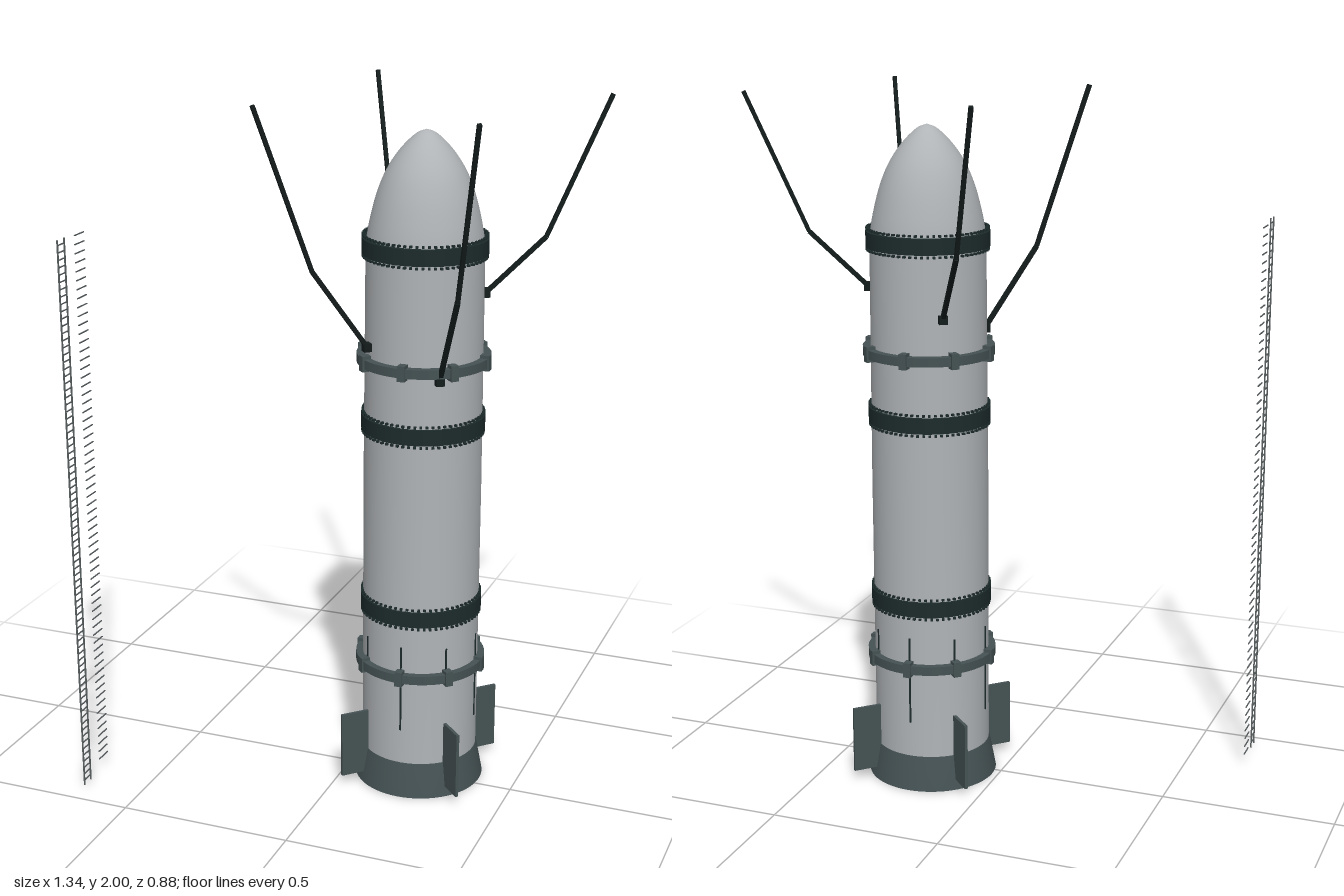
import * as THREE from 'three';
import { mergeGeometries } from 'three/addons/utils/BufferGeometryUtils.js';

const mat = (name, color, side = THREE.FrontSide) => {
  const m = new THREE.MeshStandardMaterial({ color, side });
  m.name = name;
  return m;
};

export function createModel() {
  const hull = mat('hull grey', 0xb0b4b7, THREE.DoubleSide);
  const steel = mat('dark steel', 0x455254);
  const band = mat('band green black', 0x1d2b2b);
  const black = mat('arm black', 0x141c1c);
  const rung = mat('ladder grey', 0x5a6062);

  const model = new THREE.Group();
  const rocket = new THREE.Group();
  rocket.name = 'rocket';
  rocket.position.set(0.206, 0, -0.031);
  model.add(rocket);

  const add = (name, geo, material, parent = rocket) => {
    const mesh = new THREE.Mesh(geo, material);
    mesh.name = name;
    parent.add(mesh);
    return mesh;
  };
  const lathe = (pts, seg = 64) =>
    new THREE.LatheGeometry(pts.map(([r, y]) => new THREE.Vector2(r, y)), seg);
  // copies of a box set around the axis, x pointing outwards
  const around = (n, r, y, size, start = 0) => {
    const list = [];
    for (let i = 0; i < n; i++) {
      const g = new THREE.BoxGeometry(...size);
      g.translate(r, y, 0);
      g.rotateY(start + (i / n) * Math.PI * 2);
      list.push(g);
    }
    return mergeGeometries(list);
  };
  // flat-sided collar with its own edges
  const collar = (r, inner, y, h) => mergeGeometries([
    lathe([[r, y - h / 2], [r, y + h / 2]]),
    lathe([[r, y + h / 2], [inner, y + h / 2]]),
    lathe([[inner, y - h / 2], [r, y - h / 2]]),
  ]);
  // square bar between two points
  const bar = (a, b, w) => {
    const g = new THREE.BoxGeometry(w, w, a.distanceTo(b));
    const o = new THREE.Object3D();
    o.position.copy(a).lerp(b, 0.5);
    o.lookAt(b);
    o.updateMatrix();
    return g.applyMatrix4(o.matrix);
  };

  // hollow body, slightly tapered
  add('body', lathe([[0.182, 0.001], [0.167, 0.1], [0.167, 0.9], [0.163, 1.6]]), hull);

  // rounded nose
  const nose = new THREE.SplineCurve([
    [0.163, 1.6], [0.153, 1.66], [0.134, 1.735], [0.108, 1.8],
    [0.072, 1.855], [0.03, 1.897], [0, 1.91],
  ].map(p => new THREE.Vector2(...p)));
  add('nose', new THREE.LatheGeometry(nose.getPoints(28), 64), hull);

  // flared skirt with a bottom rim
  add('skirt', lathe([[0.188, 0], [0.169, 0.1], [0.166, 0.101]]), steel);
  add('skirtRim', lathe([[0.181, 0], [0.188, 0]]), hull);

  // dark joint bands with rows of bolts
  for (const y of [0.555, 1.096, 1.596]) {
    add('jointBand', collar(0.174, 0.16, y, 0.045), band);
    for (const s of [-1, 1])
      add('bolts', around(64, 0.169, y + s * 0.029, [0.009, 0.006, 0.007]), band);
  }

  // clamp rings with eight brackets
  for (const y of [0.375, 1.28]) {
    add('clampRing', collar(0.187, 0.162, y, 0.026), steel);
    add('clampBrackets', around(8, 0.179, y, [0.026, 0.044, 0.022]), steel);
  }

  // four diagonal fins
  add('fins', around(4, 0.195, 0.127, [0.112, 0.196, 0.009], Math.PI / 4), steel);

  // thin vertical strips around the lower body
  add('longStrips', around(4, 0.167, 0.335, [0.005, 0.26, 0.005]), band);
  add('shortStrips', around(4, 0.167, 0.42, [0.005, 0.08, 0.005], Math.PI / 4), band);

  // bent arms: joint on the hull, elbow, tip
  const arms = [
    [[0.083, 1.325, 0.09], [-0.034, 1.55, 0.198], [-0.152, 2, 0.307]],
    [[0.108, 1.395, -0.166], [0.013, 1.59, -0.3], [-0.084, 2, -0.436]],
    [[0.361, 1.46, -0.095], [0.51, 1.615, -0.157], [0.662, 2, -0.228]],
    [[0.3, 1.257, 0.112], [0.39, 1.515, 0.246], [0.48, 2, 0.379]],
  ];
  for (const pts of arms) {
    const [a, b, c] = pts.map(p => new THREE.Vector3(...p));
    const arm = new THREE.Group();
    arm.name = 'arm';
    model.add(arm);
    add('lowerArm', bar(a, b, 0.012), black, arm);
    add('upperArm', bar(b, c, 0.011), black, arm);
    const joint = add('armJoint', new THREE.BoxGeometry(0.024, 0.024, 0.024), black, arm);
    joint.position.copy(a);
    joint.rotation.y = Math.atan2(c.x - a.x, c.z - a.z);
  }

  // separate ladder and loose row of rungs beside the rocket
  const rungs = (n, x, z, w, y0, y1) => {
    const list = [];
    for (let i = 0; i < n; i++) {
      const g = new THREE.BoxGeometry(0.003, 0.003, w);
      g.translate(x, y0 + (i / (n - 1)) * (y1 - y0), z);
      list.push(g);
    }
    return mergeGeometries(list);
  };
  const ladder = new THREE.Group();
  ladder.name = 'ladder';
  model.add(ladder);
  for (const z of [0.402, 0.439]) {
    const rail = add('ladderRail', new THREE.BoxGeometry(0.004, 1.625, 0.003), rung, ladder);
    rail.position.set(-0.665, 0.822, z);
  }
  add('ladderRungs', rungs(80, -0.665, 0.4205, 0.037, 0.025, 1.62), rung, ladder);
  add('looseRungs', rungs(64, -0.672, 0.308, 0.052, 0.04, 1.625), rung, ladder);

  return model;
}
